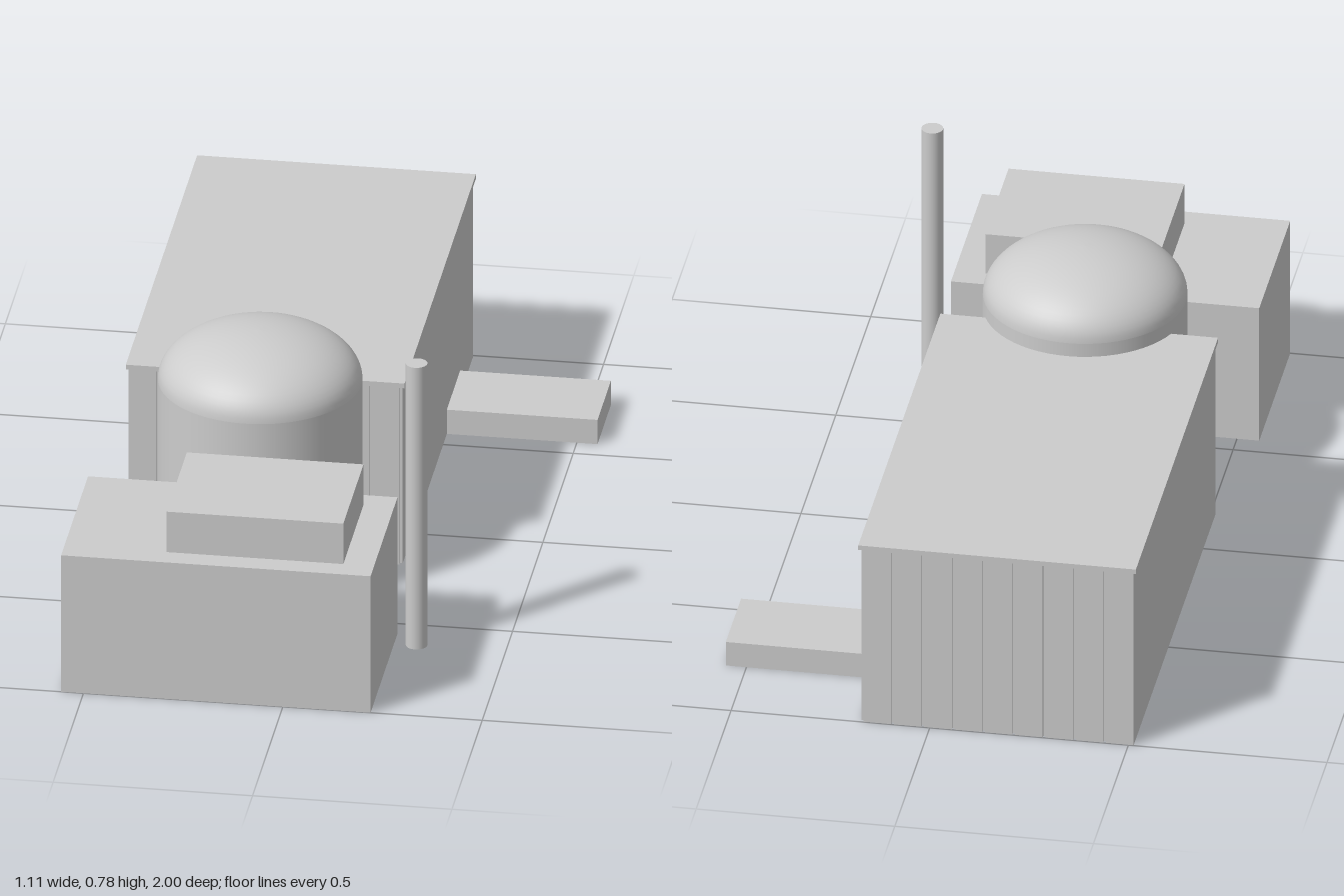
import * as THREE from 'three';

export function createModel() {
  const model = new THREE.Group();
  model.name = 'powerPlant';
  const concrete = new THREE.MeshStandardMaterial({ color: 0xcccccc });
  concrete.name = 'concrete grey';

  const add = (name, geometry, parent = model) => {
    const mesh = new THREE.Mesh(geometry, concrete);
    mesh.name = name;
    parent.add(mesh);
    return mesh;
  };
  // Box given by its limits on each axis
  const box = (name, x0, x1, y0, y1, z0, z1, parent) => {
    const mesh = add(name, new THREE.BoxGeometry(x1 - x0, y1 - y0, z1 - z0), parent);
    mesh.position.set((x0 + x1) / 2, (y0 + y1) / 2, (z0 + z1) / 2);
    return mesh;
  };

  // Long hall with a thin overhanging roof
  const hall = new THREE.Group();
  hall.name = 'turbineHall';
  model.add(hall);
  box('hallCore', -0.513, 0.174, 0, 0.49, -0.99, 0.167, hall);
  box('hallRoof', -0.519, 0.18, 0.49, 0.503, -1, 0.177, hall);

  // Upright cladding panels with narrow gaps on both end walls
  const panels = 9, pitch = 0.0763, gap = 0.007;
  for (let i = 0; i < panels; i++) {
    const x = -0.513 + i * pitch;
    box('rearPanel', x, x + pitch - gap, 0, 0.49, -0.998, -0.99, hall);
    box('frontPanel', x, x + pitch - gap, 0, 0.49, 0.167, 0.175, hall);
  }

  // Low annex beside the hall
  box('sideAnnex', 0.174, 0.552, 0, 0.067, -0.78, -0.56);

  // Round containment building: straight wall, then an elliptical dome
  const radius = 0.254, wall = 0.54, rise = 0.135;
  const shell = [];
  for (let i = 0; i <= 16; i++) {
    const a = (i / 16) * Math.PI / 2;
    shell.push(new THREE.Vector2(i === 16 ? 0 : radius * Math.cos(a), wall + rise * Math.sin(a)));
  }
  const containment = new THREE.Group();
  containment.name = 'containment';
  containment.position.set(-0.167, 0, 0.276);
  model.add(containment);
  add('containmentDome', new THREE.LatheGeometry(shell, 64), containment);
  add('containmentWall', new THREE.CylinderGeometry(radius, radius, wall, 64), containment).position.y = wall / 2;

  // Front building with its upper storey
  box('frontBuilding', -0.556, 0.22, 0, 0.378, 0.556, 1);
  box('upperStorey', -0.3, 0.143, 0.378, 0.49, 0.61, 0.943);

  // Slim chimney
  add('chimney', new THREE.CylinderGeometry(0.027, 0.027, 0.78, 32)).position.set(0.276, 0.39, 0.609);

  return model;
}
